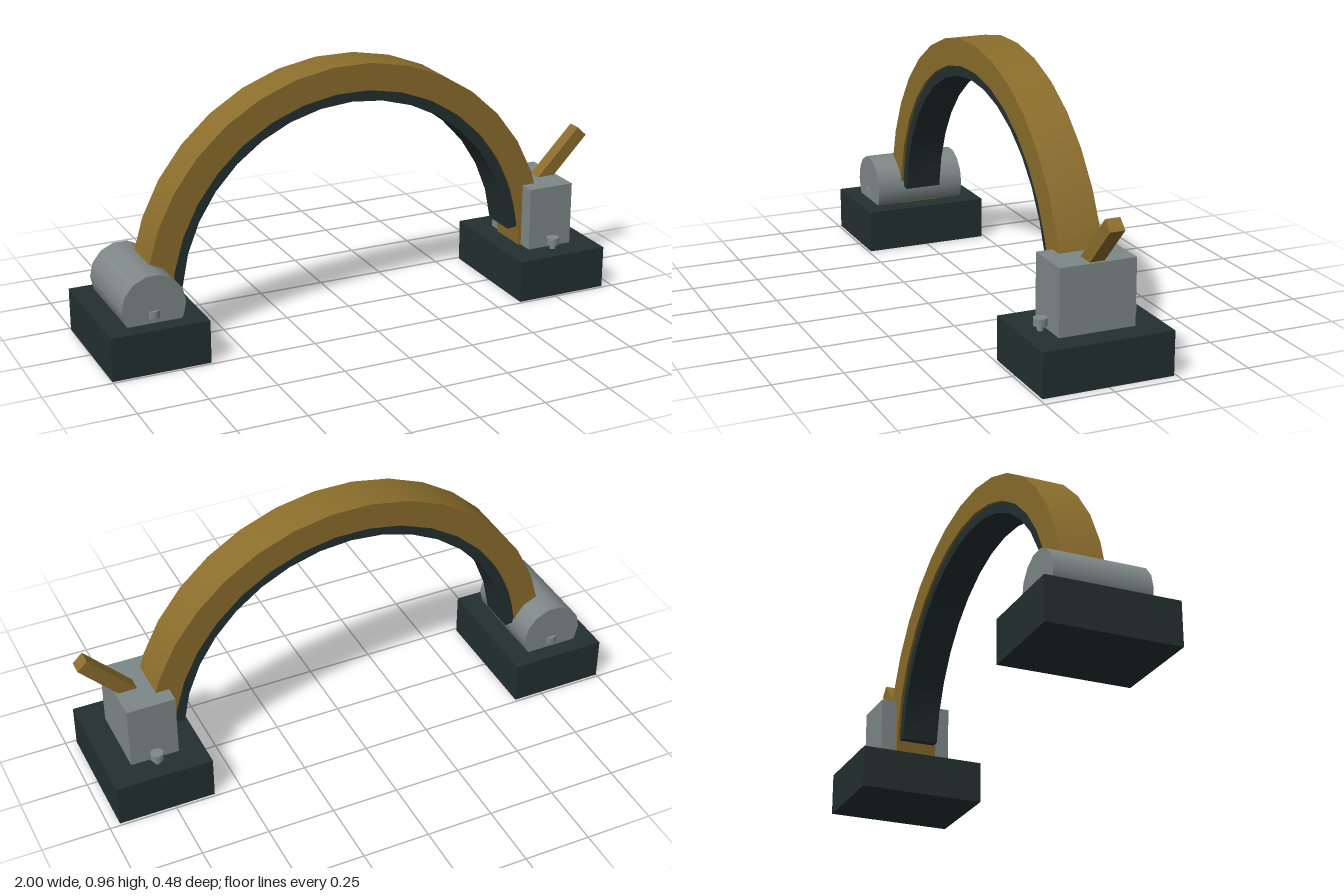
import * as THREE from 'three';
import { toCreasedNormals } from 'three/addons/utils/BufferGeometryUtils.js';

const material = (name, color) => {
  const m = new THREE.MeshStandardMaterial({ color });
  m.name = name;
  return m;
};

export function createModel() {
  const wood = material('ochre wood', 0x8c6e2c);
  const metal = material('grey metal', 0x7f8888);
  const dark = material('dark slate', 0x243030);

  const model = new THREE.Group();
  model.name = 'archedBridge';

  const add = (name, geometry, mat, x = 0, y = 0, z = 0) => {
    const mesh = new THREE.Mesh(geometry, mat);
    mesh.name = name;
    mesh.position.set(x, y, z);
    model.add(mesh);
    return mesh;
  };

  // Rectangular section swept around part of a half circle
  const archBand = (inner, outer, width, start, segments) => {
    const arc = (r) => Array.from({ length: segments + 1 }, (_, i) => {
      const a = start + (Math.PI - 2 * start) * i / segments;
      return new THREE.Vector2(r * Math.cos(a), r * Math.sin(a));
    });
    const shape = new THREE.Shape([...arc(outer), ...arc(inner).reverse()]);
    const g = new THREE.ExtrudeGeometry(shape, { depth: width, bevelEnabled: false });
    g.translate(0, 0, -width / 2);
    return toCreasedNormals(g, Math.PI / 6);
  };

  // Arch and the lining under it
  add('arch', archBand(0.7, 0.8, 0.16, 0, 17), wood, -0.02, 0.16);
  add('archLining', archBand(0.66, 0.7, 0.14, 0.105, 16), dark, -0.02, 0.16);

  // Feet with a bolt at the front and back of each
  for (const [side, x] of [['right', -0.82], ['left', 0.78]]) {
    add(side + 'Base', new THREE.BoxGeometry(0.36, 0.16, 0.48), dark, x, 0.08);
    for (const z of [-0.165, 0.165]) {
      add(side + 'BoltHead', new THREE.CylinderGeometry(0.025, 0.025, 0.027, 8), metal, x, 0.1915, z);
      add(side + 'BoltShank', new THREE.CylinderGeometry(0.012, 0.012, 0.03, 8), metal, x, 0.168, z);
    }
  }

  // Hinge drum on one foot
  const drum = new THREE.CylinderGeometry(0.117, 0.117, 0.354, 14, 1, false, Math.PI / 2);
  drum.rotateX(Math.PI / 2);
  add('hingeDrum', drum, metal, -0.82, 0.22);

  // Latch block and its slanted lever on the other
  add('latchBlock', new THREE.BoxGeometry(0.18, 0.24, 0.28), metal, 0.78, 0.28);
  const lever = add('lever', new THREE.BoxGeometry(0.05, 0.28, 0.054), wood, 0.881, 0.459);
  lever.rotation.z = -0.764;

  return model;
}
